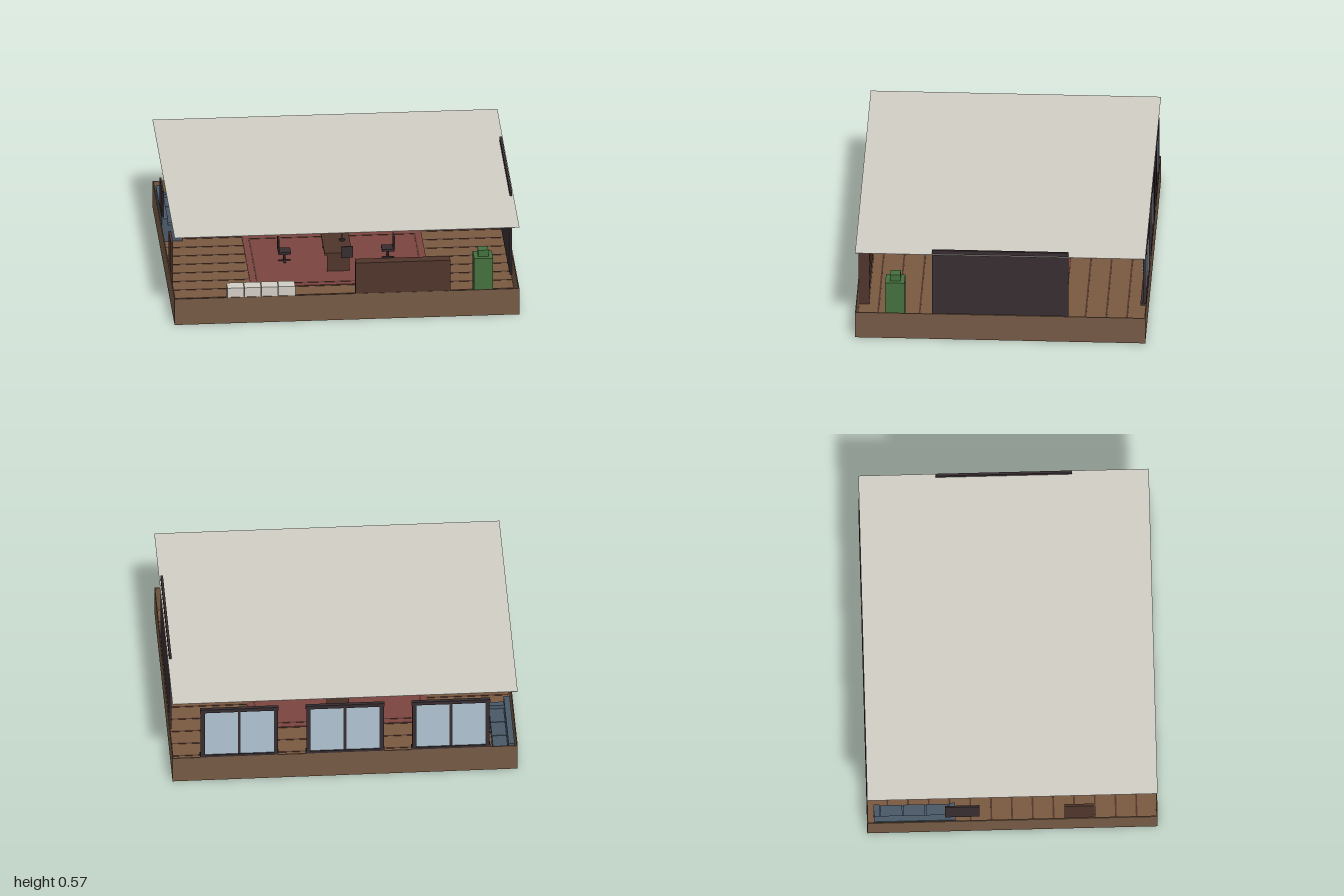
import * as THREE from 'three';

const mat = (name, color, side = THREE.FrontSide) => {
  const m = new THREE.MeshStandardMaterial({ color, side });
  m.name = name;
  return m;
};

export function createModel() {
  const wallWood = mat('wall wood', 0x755a45);
  const floorWood = mat('floor wood', 0x7a5a41);
  const darkWood = mat('dark wood', 0x50352c);
  const black = mat('charcoal', 0x372d30);
  const glass = mat('window glass', 0xb0c3d2);
  const cream = mat('cream', 0xd2cec5);
  const green = mat('green', 0x44703f);
  const red = mat('carpet red', 0x7c4440);
  const blue = mat('sofa blue', 0x4a5968);

  const room = new THREE.Group();
  room.name = 'room';
  const group = (name, parent = room) => {
    const g = new THREE.Group();
    g.name = name;
    parent.add(g);
    return g;
  };
  // box given by its lower and upper limits on each axis
  const box = (parent, name, m, x0, x1, y0, y1, z0, z1) => {
    const mesh = new THREE.Mesh(new THREE.BoxGeometry(x1 - x0, y1 - y0, z1 - z0), m);
    mesh.position.set((x0 + x1) / 2, (y0 + y1) / 2, (z0 + z1) / 2);
    mesh.name = name;
    parent.add(mesh);
    return mesh;
  };
  const cyl = (parent, name, m, r0, r1, h, x, y, z, n = 12) => {
    const mesh = new THREE.Mesh(new THREE.CylinderGeometry(r0, r1, h, n), m);
    mesh.position.set(x, y, z);
    mesh.name = name;
    parent.add(mesh);
    return mesh;
  };

  // floor, boards and low outer walls
  box(room, 'floor', floorWood, -1, 1, 0, 0.006, -0.84, 0.84);
  for (let i = 1; i < 14; i++) {
    const z = -0.84 + i * 0.12;
    box(room, 'boardGap', darkWood, -0.99, 0.99, 0.006, 0.008, z - 0.005, z + 0.005);
  }
  for (const s of [-1, 1]) {
    box(room, 'lowWall', wallWood, -1, 1, 0, 0.163, s * 0.837 - 0.003, s * 0.837 + 0.003);
    box(room, 'lowSideWall', wallWood, s * 0.997 - 0.003, s * 0.997 + 0.003, 0, 0.163, -0.834, 0.834);
  }

  // ceiling and the light panels below it
  box(room, 'ceiling', cream, -1, 1, 0.549, 0.551, -0.84, 0.84);
  for (const s of [-1, 1])
    box(room, 'lightPanel', cream, s * 0.483 - 0.193, s * 0.483 + 0.193, 0.541, 0.548, -0.41, 0.41);

  // carpet with an inlaid border
  box(room, 'carpet', red, -0.52, 0.52, 0.006, 0.011, -0.36, 0.36);
  for (const s of [-1, 1]) {
    box(room, 'carpetBorder', darkWood, -0.48, 0.48, 0.011, 0.013, s * 0.32 - 0.004, s * 0.32 + 0.004);
    box(room, 'carpetBorder', darkWood, s * 0.48 - 0.004, s * 0.48 + 0.004, 0.011, 0.013, -0.32, 0.32);
  }

  // three back windows with blinds
  for (const x of [-0.613, 0, 0.613]) {
    const w = group('window');
    w.position.x = x;
    box(w, 'pane', glass, -0.21, 0.21, 0.175, 0.48, -0.833, -0.828);
    for (const s of [-1, 1])
      box(w, 'sideFrame', black, s * 0.212 - 0.012, s * 0.212 + 0.012, 0.165, 0.485, -0.84, -0.82);
    box(w, 'mullion', black, -0.008, 0.008, 0.175, 0.48, -0.836, -0.825);
    box(w, 'header', black, -0.228, 0.228, 0.478, 0.5, -0.84, -0.818);
    box(w, 'sill', black, -0.228, 0.228, 0.163, 0.178, -0.84, -0.805);
    for (let i = 0; i < 6; i++)
      box(w, 'blindSlat', cream, -0.2, 0.2, 0.355 + i * 0.022, 0.363 + i * 0.022, -0.823, -0.813);
  }

  // wall pieces
  box(room, 'wallScreen', black, 0.978, 0.992, 0.05, 0.575, -0.395, 0.395);
  box(room, 'television', black, -0.994, -0.984, 0.22, 0.385, -0.39, -0.19);
  box(room, 'wallClock', black, -0.035, 0.035, 0.39, 0.46, 0.828, 0.836);
  box(room, 'door', darkWood, -0.994, -0.98, 0, 0.355, 0.3, 0.47);
  box(room, 'doorKnob', black, -0.98, -0.972, 0.16, 0.172, 0.32, 0.332);

  // bookcase, open towards the room
  const shelf = group('bookcase');
  box(shelf, 'bookcaseBack', darkWood, 0.05, 0.6, 0, 0.355, 0.822, 0.838);
  for (const x of [0.05, 0.59]) box(shelf, 'bookcaseSide', darkWood, x, x + 0.01, 0, 0.355, 0.775, 0.822);
  for (let i = 0; i < 5; i++) {
    const y = i * 0.0862;
    box(shelf, 'shelfBoard', darkWood, 0.06, 0.59, y, y + 0.01, 0.776, 0.822);
    if (i === 4) break;
    const books = [red, blue, green, cream];
    for (let k = 0; k < 16; k++)
      box(shelf, 'book', books[(k * 3 + i + (k >> 2)) % 4], 0.065 + k * 0.032, 0.092 + k * 0.032,
        y + 0.01, y + 0.055 + ((k * 7 + i * 3) % 4) * 0.006, 0.782, 0.822);
  }

  // four filing cabinets facing the room
  for (let i = 0; i < 4; i++) {
    const c = group('filingCabinet'), x = -0.693 + i * 0.099;
    box(c, 'cabinetBody', cream, x, x + 0.096, 0, 0.22, 0.758, 0.836);
    for (let k = 0; k < 3; k++) {
      const y = 0.01 + k * 0.069;
      box(c, 'drawer', cream, x + 0.006, x + 0.09, y, y + 0.062, 0.753, 0.758);
      box(c, 'drawerHandle', black, x + 0.032, x + 0.064, y + 0.034, y + 0.042, 0.747, 0.753);
    }
  }

  // green cabinet by the right wall
  box(room, 'greenCabinet', green, 0.75, 0.86, 0, 0.285, 0.56, 0.672);
  box(room, 'greenCabinetTop', green, 0.775, 0.835, 0.285, 0.325, 0.585, 0.645);

  // sofa along the left wall
  const sofa = group('sofa');
  box(sofa, 'sofaSeat', blue, -0.98, -0.865, 0, 0.075, -0.8, -0.33);
  box(sofa, 'sofaBack', blue, -0.985, -0.95, 0, 0.15, -0.8, -0.33);
  for (const z of [-0.8, -0.365]) box(sofa, 'sofaArm', blue, -0.95, -0.865, 0.075, 0.11, z, z + 0.035);
  for (let i = 0; i < 3; i++)
    box(sofa, 'cushion', blue, -0.948, -0.863, 0.075, 0.09, -0.762 + i * 0.132, -0.635 + i * 0.132);

  // table and desk lamp
  const table = group('table');
  box(table, 'tableTop', darkWood, -0.08, 0.08, 0.115, 0.128, -0.18, 0.18);
  for (const s of [-1, 1])
    box(table, 'tablePanel', darkWood, -0.065, 0.065, 0, 0.115, s * 0.165 - 0.008, s * 0.165 + 0.008);
  box(table, 'tableRail', darkWood, -0.01, 0.01, 0.03, 0.115, -0.157, 0.157);
  cyl(table, 'lampBase', black, 0.016, 0.018, 0.008, 0.035, 0.132, 0);
  cyl(table, 'lampPost', black, 0.003, 0.003, 0.08, 0.035, 0.17, 0, 8);
  box(table, 'lampShade', green, 0.015, 0.05, 0.203, 0.223, -0.025, 0.025);

  // two chairs facing the table
  for (const s of [-1, 1]) {
    const c = group('chair');
    c.position.x = s * 0.3;
    cyl(c, 'chairPost', black, 0.006, 0.006, 0.06, 0, 0.035, 0, 8);
    box(c, 'chairFoot', black, -0.035, 0.035, 0.003, 0.015, -0.006, 0.006);
    box(c, 'chairFoot', black, -0.006, 0.006, 0.003, 0.015, -0.035, 0.035);
    box(c, 'chairSeat', black, -0.036, 0.036, 0.062, 0.076, -0.036, 0.036);
    box(c, 'chairBack', black, s * 0.034 - 0.005, s * 0.034 + 0.005, 0.076, 0.15, -0.034, 0.034);
  }
  return room;
}
